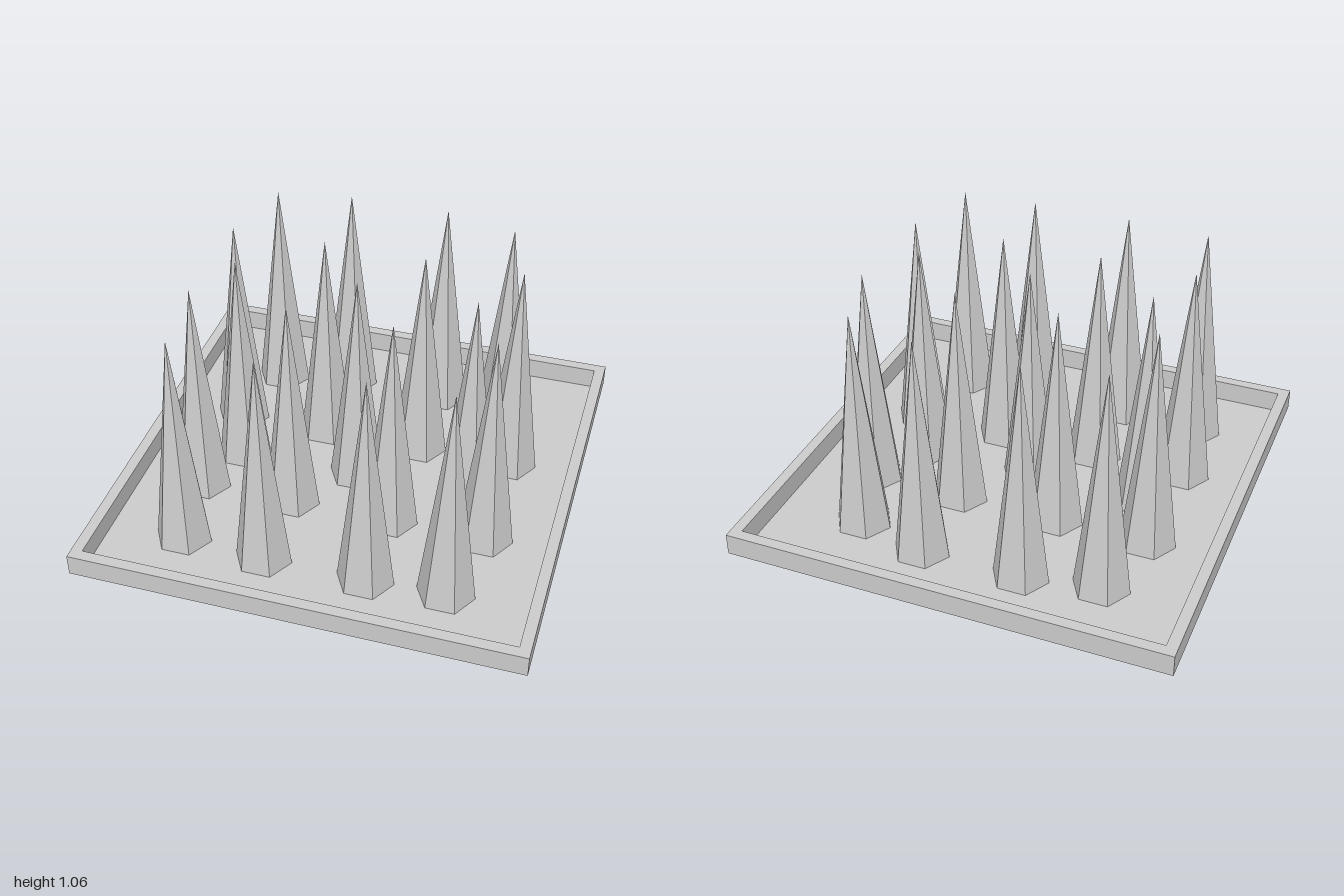
import * as THREE from 'three';

export function createModel() {
  const model = new THREE.Group();
  const material = new THREE.MeshStandardMaterial({
    color: 0xcccccc, flatShading: true, side: THREE.DoubleSide,
  });

  // Square tray: outer wall, rim, inner wall and floor, hollow under the rim
  const profile = [[1, 0], [1, 0.1], [0.95, 0.1], [0.95, 0], [0, 0]]
    .map(([half, y]) => new THREE.Vector2(half * Math.SQRT2, y));
  const tray = new THREE.Mesh(new THREE.LatheGeometry(profile, 4, Math.PI / 4), material);
  tray.name = 'tray';
  model.add(tray);

  // Six-sided spikes standing on the tray floor, one row per z band
  const height = 1.06;
  const spikeGeometry = new THREE.ConeGeometry(0.128, height, 6, 1, true, Math.PI / 6);
  spikeGeometry.translate(0, height / 2, 0);

  const positions = [
    [-0.57, -0.61], [-0.23, -0.67], [0.23, -0.67], [0.555, -0.585],
    [-0.66, -0.255], [-0.23, -0.255], [0.23, -0.255], [0.663, -0.255],
    [-0.55, 0.017], [0, 0.017], [0.524, 0.017],
    [-0.66, 0.275], [-0.23, 0.275], [0.23, 0.275], [0.663, 0.275],
    [-0.612, 0.64], [-0.23, 0.667], [0.23, 0.667], [0.58, 0.65],
  ];
  const spikes = new THREE.Group();
  spikes.name = 'spikes';
  for (const [x, z] of positions) {
    const spike = new THREE.Mesh(spikeGeometry, material);
    spike.name = 'spike';
    spike.position.set(x, 0, z);
    spikes.add(spike);
  }
  model.add(spikes);
  return model;
}
